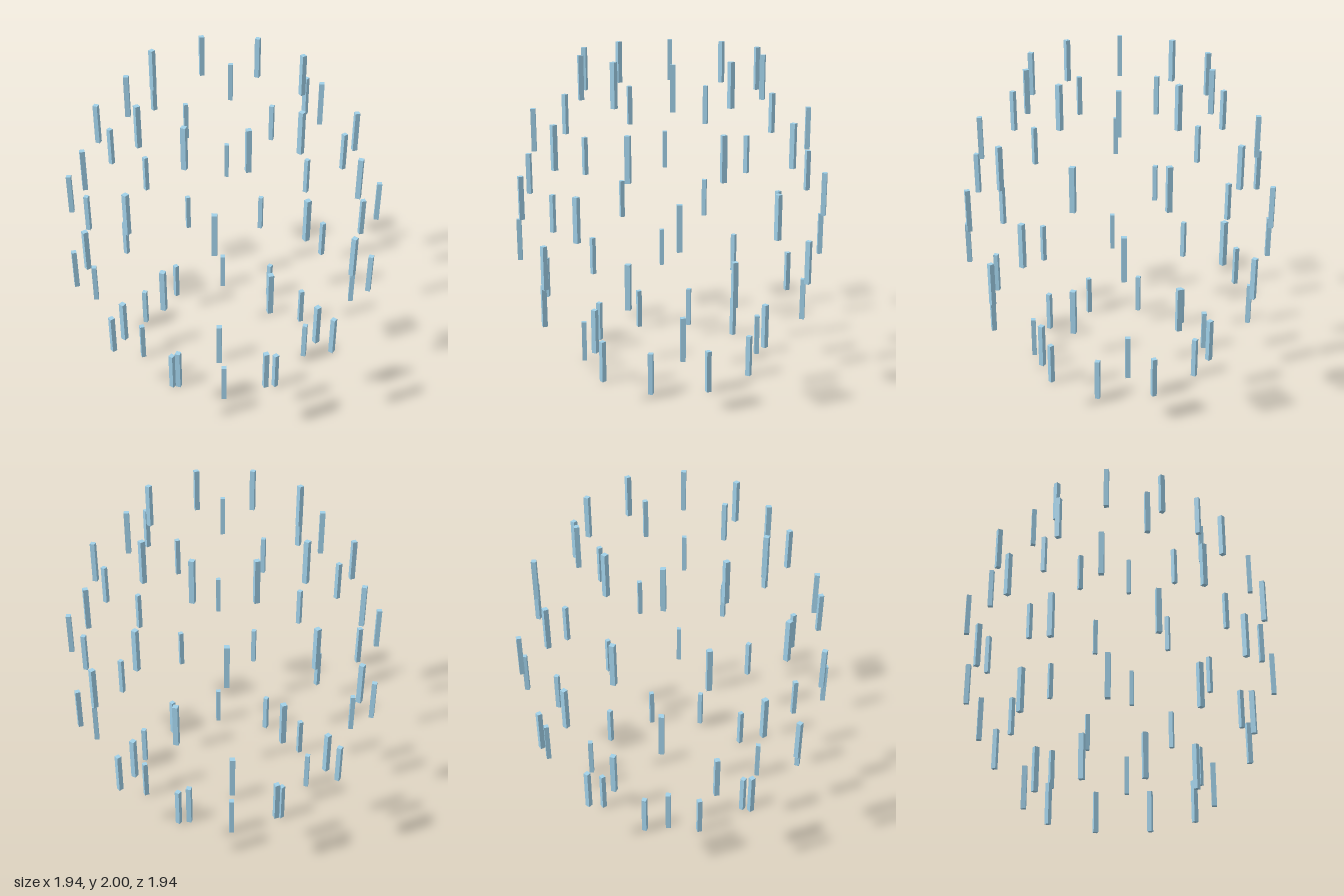
import * as THREE from 'three';

// Open sphere of upright bars: six stacked rings, each turned a little further
export function createModel() {
  const group = new THREE.Group();
  group.name = 'barSphere';
  const material = new THREE.MeshStandardMaterial({ color: 0xa0d0e8 });
  const height = 0.265, width = 0.03, step = 0.347, count = 10, twist = 0.33;
  const bar = new THREE.BoxGeometry(width, height, width);
  const radii = [0.565, 0.845, 0.955, 0.955, 0.845, 0.565];

  radii.forEach((radius, level) => {
    const ring = new THREE.Group();
    ring.name = `ring${level + 1}`;
    ring.position.y = level * step + height / 2;
    for (let i = 0; i < count; i++) {
      const angle = level * twist + (i / count) * Math.PI * 2;
      const mesh = new THREE.Mesh(bar, material);
      mesh.name = `bar${i + 1}`;
      mesh.position.set(Math.cos(angle) * radius, 0, Math.sin(angle) * radius);
      mesh.rotation.y = -angle; // one face looks outward
      ring.add(mesh);
    }
    group.add(ring);
  });
  return group;
}
